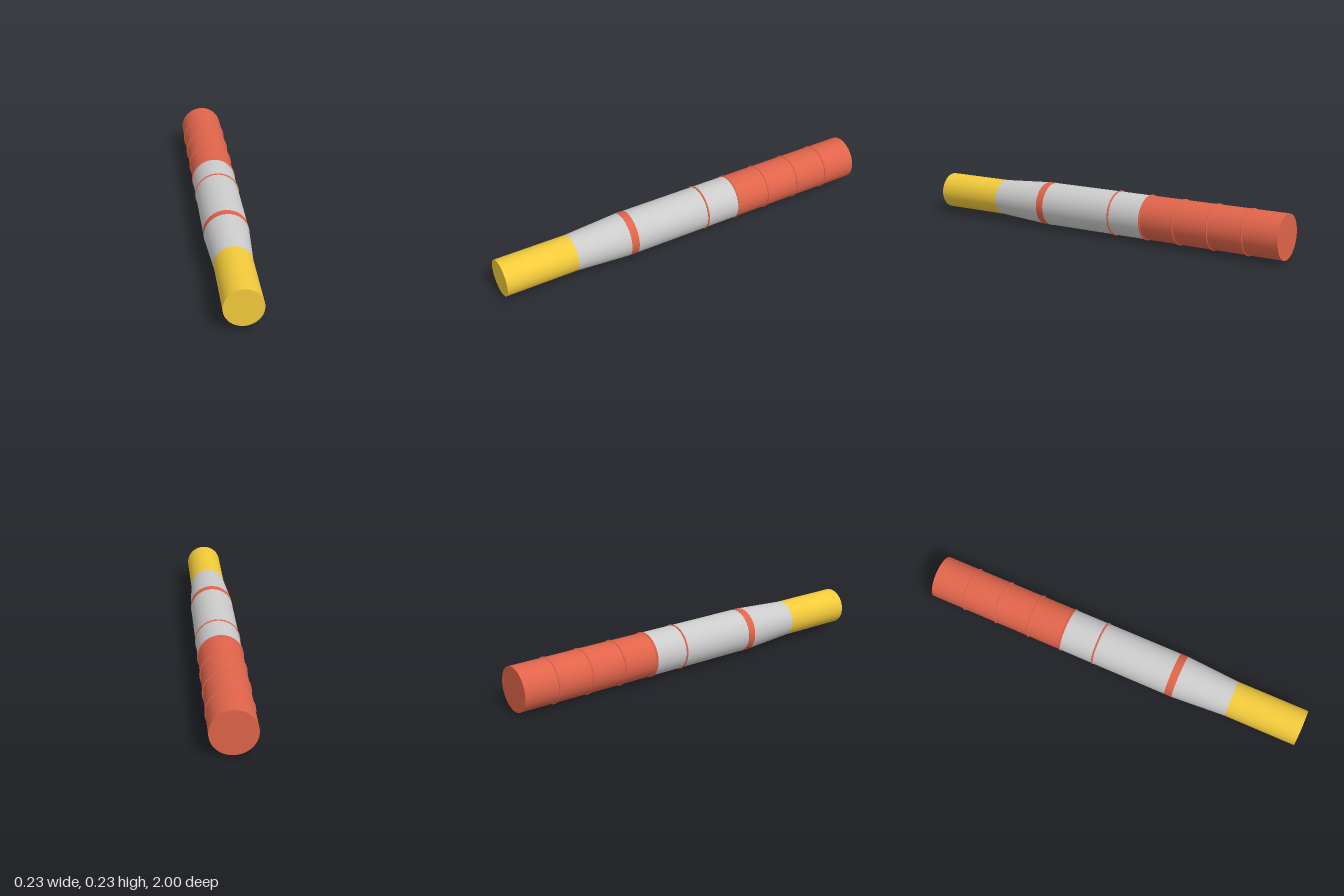
import * as THREE from 'three';

const AXIS_Y = 0.115, SEGMENTS = 64;

export function createModel() {
  const model = new THREE.Group();
  const grey = new THREE.MeshStandardMaterial({ color: 0xcccccc });
  const red = new THREE.MeshStandardMaterial({ color: 0xe0644a });
  const yellow = new THREE.MeshStandardMaterial({ color: 0xf2ca3a });

  // Round section along z, from its back end to its front end
  function section(name, material, zBack, zFront, rBack, rFront = rBack) {
    const geometry = new THREE.CylinderGeometry(rFront, rBack, zFront - zBack, SEGMENTS);
    geometry.rotateX(Math.PI / 2);
    const mesh = new THREE.Mesh(geometry, material);
    mesh.name = name;
    mesh.position.set(0, AXIS_Y, (zBack + zFront) / 2);
    model.add(mesh);
  }

  section('tip', yellow, 0.63, 1, 0.092);
  section('taper', grey, 0.35, 0.63, 0.11, 0.092);
  section('colourBand', red, 0.31, 0.35, 0.111);
  section('barrel', grey, -0.27, 0.31, 0.11);
  section('grip', red, -1, -0.27, 0.11);

  // Thin raised rings on the barrel and grip
  [-0.09, -0.272, -0.455, -0.638, -0.82].forEach((z, i) => {
    const ring = new THREE.Mesh(new THREE.TorusGeometry(0.11, 0.0045, 12, SEGMENTS), red);
    ring.name = i === 0 ? 'barrelRing' : `gripRing${i}`;
    ring.position.set(0, AXIS_Y, z);
    model.add(ring);
  });

  return model;
}
